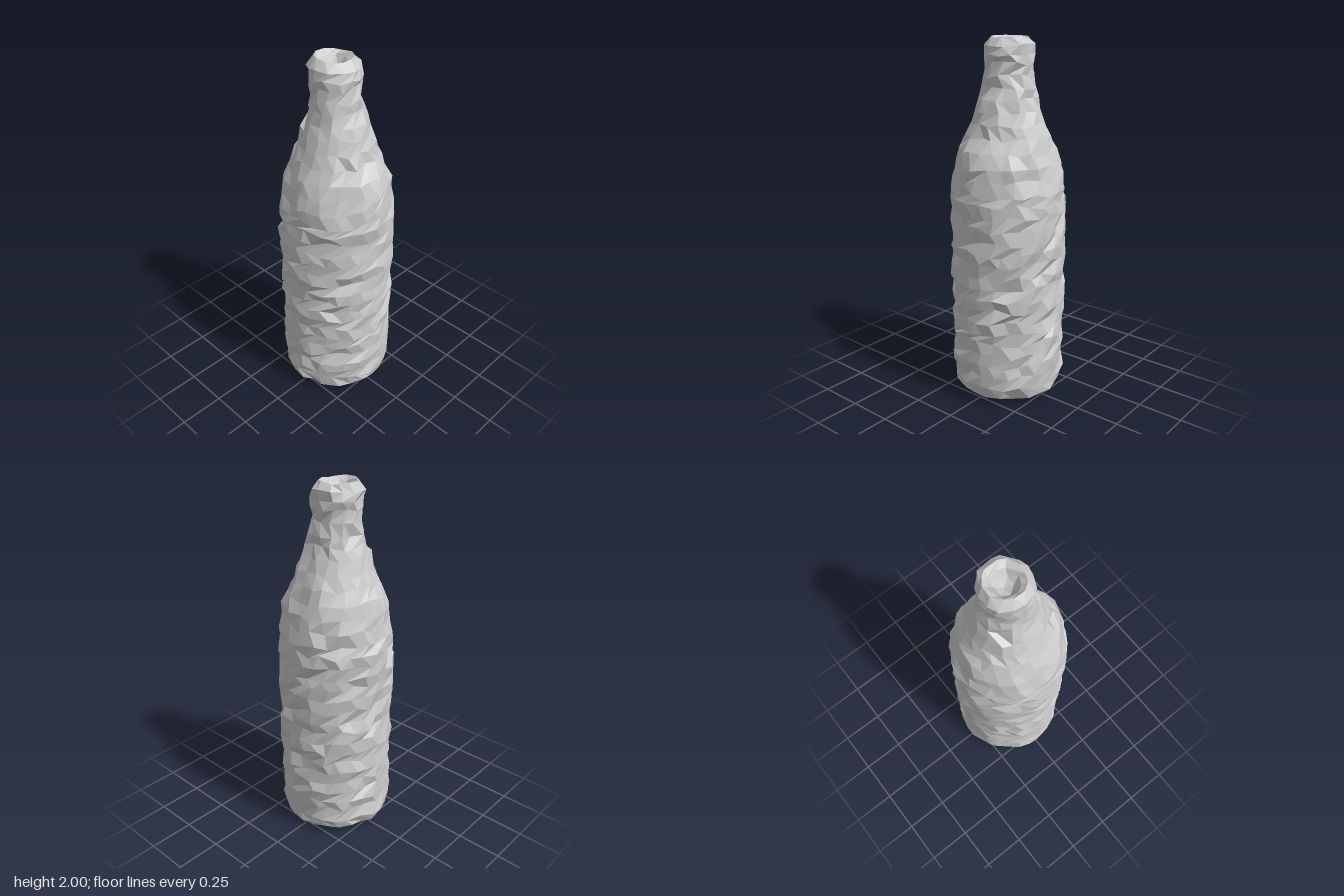
import * as THREE from 'three';

// Rings from the underside up, over the lip and into the mouth:
// [y, radius, centre x, points in ring, roughness]
function makeRings() {
  const rings = [
    [0.015, 0, 0, 1, 0], [0.012, 0.1, 0, 7, 0.006], [0.008, 0.19, 0, 14, 0.006],
    [0.012, 0.255, 0, 20, 0.006], [0.045, 0.298, 0, 24, 0.008],
  ];
  // straight body
  for (let y = 0.11; y < 1.16; y += 0.065) rings.push([y, 0.316, 0, 26, 0.012]);
  // shoulder and neck
  rings.push(
    [1.2, 0.308, 0, 26, 0.012], [1.27, 0.297, 0, 26, 0.012], [1.34, 0.282, 0, 24, 0.012],
    [1.41, 0.258, 0, 24, 0.01], [1.48, 0.228, 0, 22, 0.009], [1.55, 0.202, 0, 20, 0.008],
    [1.62, 0.179, 0, 18, 0.008], [1.68, 0.16, 0, 16, 0.008], [1.74, 0.142, -0.005, 15, 0.008],
    [1.8, 0.134, -0.01, 14, 0.01], [1.86, 0.135, -0.012, 14, 0.01], [1.91, 0.138, -0.014, 14, 0.009],
    [1.955, 0.133, -0.016, 13, 0.008], [1.993, 0.1, -0.02, 12, 0.006],
  );
  // shallow mouth
  rings.push([1.975, 0.075, -0.022, 9, 0.006], [1.93, 0.05, -0.022, 6, 0.006], [1.915, 0, -0.022, 1, 0]);
  return rings;
}

function seeded(seed) {
  return () => {
    seed = (seed * 16807) % 2147483647;
    return seed / 2147483647;
  };
}

// Joins two rings that may have different point counts
function stitch(lower, upper, index) {
  const n = lower.length, m = upper.length;
  let i = 0, j = 0;
  while (i < n || j < m) {
    const a = lower[i % n], b = upper[j % m];
    if (j >= m || (i < n && (i + 1) / n <= (j + 1) / m)) {
      if (n > 1) index.push(a, b, lower[(i + 1) % n]);
      i++;
    } else {
      if (m > 1) index.push(a, b, upper[(j + 1) % m]);
      j++;
    }
  }
}

function bottleGeometry() {
  const random = seeded(4217);
  const spread = () => random() * 2 - 1;
  const positions = [], index = [];
  let previous = null;

  makeRings().forEach(([y, radius, cx, count, rough], row) => {
    const ring = [];
    for (let k = 0; k < count; k++) {
      const step = (Math.PI * 2) / count;
      const angle = (k + (row % 2) * 0.5 + spread() * 0.22) * step;
      // small chips in the otherwise gently uneven wall
      const chip = rough > 0.007 && random() < 0.1 ? 0.018 : 0;
      // slight lump on the left shoulder
      const lump = 0.025 * Math.exp(-(((y - 1.35) / 0.07) ** 2)) * Math.max(0, Math.cos(angle)) ** 6;
      const r = radius + (radius ? spread() * rough - chip + lump : 0);
      ring.push(positions.length / 3);
      positions.push(
        cx + r * Math.cos(angle),
        THREE.MathUtils.clamp(y + spread() * rough * 1.5, 0, 2),
        r * Math.sin(angle),
      );
    }
    if (previous) stitch(previous, ring, index);
    previous = ring;
  });

  const geometry = new THREE.BufferGeometry();
  geometry.setAttribute('position', new THREE.Float32BufferAttribute(positions, 3));
  geometry.setIndex(index);
  geometry.computeVertexNormals();
  return geometry;
}

export function createModel() {
  const group = new THREE.Group();
  group.name = 'bottle';
  const material = new THREE.MeshStandardMaterial({ color: 0xcccccc, flatShading: true });
  const bottle = new THREE.Mesh(bottleGeometry(), material);
  bottle.name = 'roughBottleShell';
  group.add(bottle);
  return group;
}
